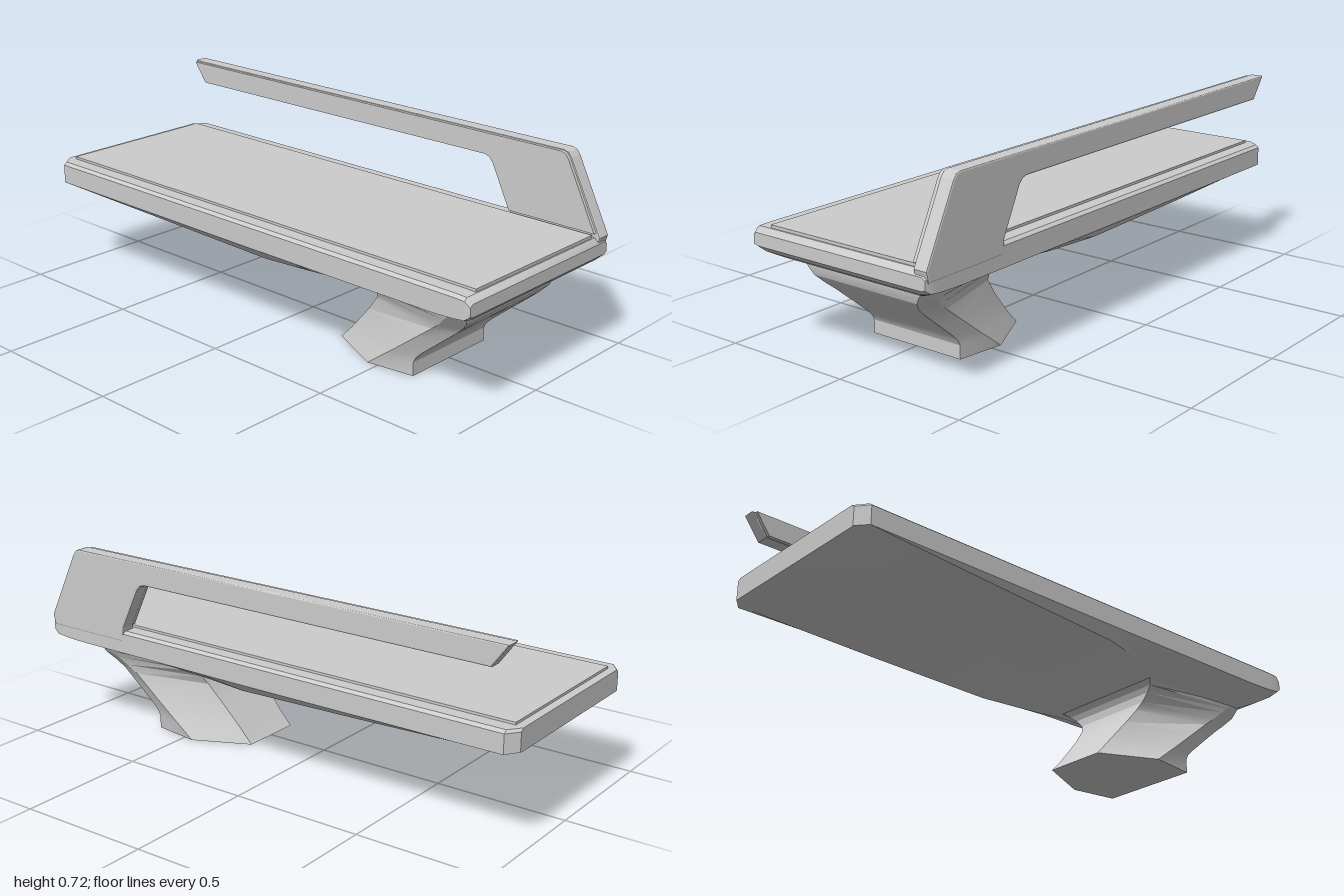
import * as THREE from 'three';
import { toCreasedNormals } from 'three/addons/utils/BufferGeometryUtils.js';

const grey = new THREE.MeshStandardMaterial({ color: 0xcccccc });

function mesh(name, geometry) {
  const m = new THREE.Mesh(geometry, grey);
  m.name = name;
  return m;
}

// Skins a row of equal-length point rings and caps both ends
function loft(rings, crease) {
  const n = rings[0].length;
  const index = [];
  for (let i = 0; i < rings.length - 1; i++) {
    for (let j = 0; j < n; j++) {
      const a = i * n + j, b = i * n + (j + 1) % n;
      index.push(a, a + n, b, b, a + n, b + n);
    }
  }
  const end = (rings.length - 1) * n;
  for (let j = 1; j < n - 1; j++) {
    index.push(0, j, j + 1, end, end + j + 1, end + j);
  }
  const g = new THREE.BufferGeometry();
  g.setAttribute('position', new THREE.Float32BufferAttribute(rings.flat(2), 3));
  g.setIndex(index);
  return toCreasedNormals(g.toNonIndexed(), crease);
}

// Flat plate in the xy plane between two z values, with a small bevel
function plate(points, z0, z1, bevel) {
  const shape = new THREE.Shape(points.map(([x, y]) => new THREE.Vector2(x, y)));
  const g = new THREE.ExtrudeGeometry(shape, {
    depth: z1 - z0 - 2 * bevel, bevelSize: bevel, bevelThickness: bevel,
    bevelOffset: -bevel, bevelSegments: 2, bevelEnabled: bevel > 0,
  });
  return g.translate(0, 0, z0 + bevel);
}

export function createModel() {
  const group = new THREE.Group();

  // Seat slab: [x, top, half width, edge bottom, inner half width, centre bottom]
  const slab = [
    [-1, 0.44, 0.335, 0.362, 0.325, 0.36],
    [-0.965, 0.44, 0.38, 0.36, 0.365, 0.358],
    [-0.4, 0.44, 0.38, 0.358, 0.36, 0.338],
    [0.1, 0.44, 0.38, 0.356, 0.345, 0.319],
    [0.28, 0.44, 0.38, 0.356, 0.31, 0.312],
    [0.45, 0.44, 0.38, 0.356, 0.265, 0.304],
    [0.82, 0.44, 0.38, 0.356, 0.26, 0.302],
    [0.88, 0.44, 0.38, 0.357, 0.265, 0.306],
    [0.94, 0.44, 0.38, 0.36, 0.30, 0.332],
    [0.98, 0.438, 0.38, 0.365, 0.34, 0.355],
    [1, 0.42, 0.375, 0.38, 0.36, 0.375],
  ];
  const seatRings = slab.map(([x, top, w, edge, inner, low]) => [
    [x, top, w - 0.012], [x, top, -w + 0.012], [x, top - 0.01, -w], [x, edge, -w],
    [x, low, -inner], [x, low, inner], [x, edge, w], [x, top - 0.01, w],
  ]);
  group.add(mesh('seat', loft(seatRings, 0.6)));

  // Raised cushion panel on the seat
  const panel = new THREE.BoxGeometry(1.945, 0.03, 0.635).translate(0.003, 0.434, 0);
  group.add(mesh('seatPanel', panel));

  // Slanted pedestal: [y, x outer, x middle, x inner, z outer, z middle, z inner]
  const leg = [
    [0, 0.64, 0.46, 0.25, 0.195, 0.22, 0.12],
    [0.05, 0.64, 0.525, 0.298, 0.195, 0.22, 0.12],
    [0.07, 0.65, 0.552, 0.315, 0.195, 0.22, 0.122],
    [0.09, 0.67, 0.578, 0.333, 0.195, 0.22, 0.124],
    [0.15, 0.742, 0.655, 0.386, 0.195, 0.22, 0.132],
    [0.21, 0.815, 0.732, 0.434, 0.196, 0.22, 0.145],
    [0.24, 0.85, 0.77, 0.448, 0.208, 0.231, 0.162],
    [0.27, 0.878, 0.80, 0.448, 0.228, 0.246, 0.19],
    [0.29, 0.885, 0.82, 0.438, 0.24, 0.256, 0.215],
    [0.31, 0.888, 0.83, 0.41, 0.255, 0.262, 0.24],
    [0.35, 0.89, 0.83, 0.40, 0.255, 0.262, 0.24],
  ];
  const legRings = leg.map(([y, xo, xm, xi, zo, zm, zi]) => [
    [xo, y, zo], [xm, y, zm], [xi, y, zi], [xi, y, -zi], [xm, y, -zm], [xo, y, -zo],
  ]);
  group.add(mesh('pedestal', loft(legRings, 0.4)));

  // Backrest: one upright at the end carrying a long cantilevered rail
  const back = [
    [-0.91, 0.634], [0.52, 0.634], [0.54, 0.628], [0.556, 0.61], [0.632, 0.455],
    [0.64, 0.40], [0.99, 0.40], [1, 0.44], [0.872, 0.695], [0.858, 0.712], [0.84, 0.718],
    [-0.972, 0.718],
  ];
  group.add(mesh('backrest', plate(back, -0.382, -0.328, 0.006)));

  // Thin pad facing the sitter
  const pad = [
    [-0.906, 0.637], [0.522, 0.637], [0.544, 0.63], [0.56, 0.611], [0.636, 0.455],
    [0.985, 0.455], [0.868, 0.69], [0.855, 0.708], [0.838, 0.714], [-0.962, 0.714],
  ];
  group.add(mesh('backrestPad', plate(pad, -0.33, -0.315, 0)));

  return group;
}
